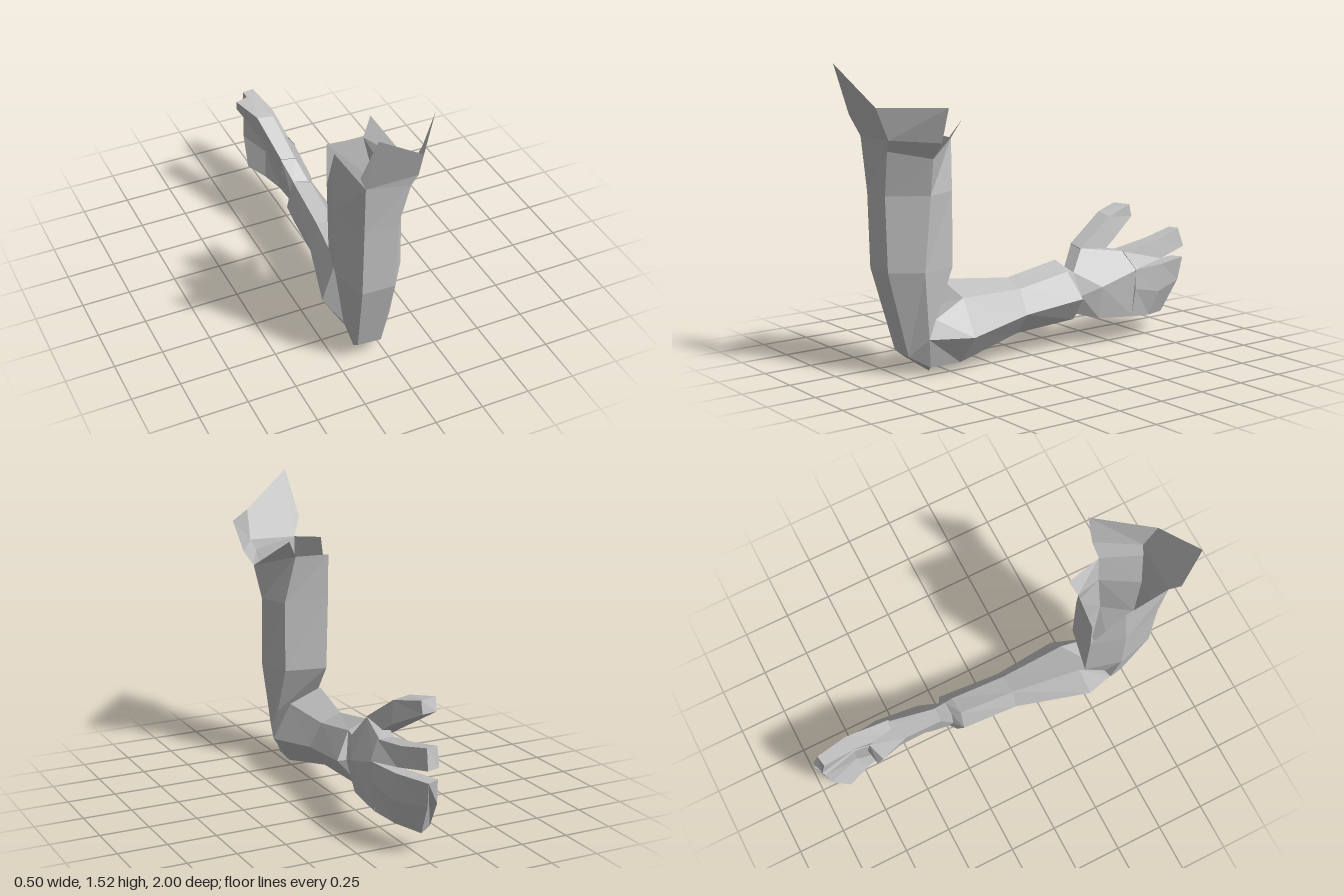
import * as THREE from 'three';

const skin = new THREE.MeshStandardMaterial({ color: 0xbfbfbf, flatShading: true, side: THREE.DoubleSide });
skin.name = 'plain grey';

// Flat-shaded mesh from polygons, each fanned from its first corner
function facets(name, polygons) {
  const pos = [];
  for (const p of polygons)
    for (let i = 1; i < p.length - 1; i++) pos.push(...p[0], ...p[i], ...p[i + 1]);
  const g = new THREE.BufferGeometry();
  g.setAttribute('position', new THREE.Float32BufferAttribute(pos, 3));
  g.computeVertexNormals();
  const mesh = new THREE.Mesh(g, skin);
  mesh.name = name;
  return mesh;
}

// Quads between neighbouring rings, with optional end caps
function loft(rings, capStart, capEnd) {
  const out = [];
  for (let r = 0; r < rings.length - 1; r++) {
    const a = rings[r], b = rings[r + 1], n = a.length;
    for (let i = 0; i < n; i++) {
      const j = (i + 1) % n;
      out.push([a[i], a[j], b[j], b[i]]);
    }
  }
  if (capStart) out.push([...rings[0]].reverse());
  if (capEnd) out.push(rings[rings.length - 1]);
  return out;
}

// Ring in a plane of constant z
const atZ = (z, pts) => pts.map(([x, y]) => [x, y, z]);

export function createModel() {
  const model = new THREE.Group();
  model.name = 'bentArm';

  // Upper arm rings: front right, front left, outer side, back outer, back inner, inner side
  const elbowUp = [[-.155, .11, .72], [-.03, .10, .72], [.05, .19, .65], [.03, .28, .6], [-.17, .28, .6], [-.19, .2, .63]];
  const low = [[-.19, .53, .83], [-.02, .53, .835], [.08, .53, .69], [.03, .53, .5], [-.19, .53, .455], [-.24, .53, .64]];
  const high = [[-.19, .9, .84], [-.02, .9, .845], [.09, .9, .66], [.03, .9, .5], [-.2, .92, .455], [-.25, .9, .63]];
  const rim = [[-.2, 1.17, .865], [.03, 1.12, .86], [.13, 1.08, .67], [-.02, 1.15, .47], [-.2, 1.15, .45], [-.235, 1.21, .61]];
  const walls = loft([elbowUp, low, high]);
  for (let i = 0; i < 4; i++) walls.push([high[i], high[i + 1], rim[i + 1], rim[i]]);
  walls.push([high[4], high[5], rim[5]]); // notch above this triangle stays open
  walls.push([high[5], high[0], rim[0], rim[5]]);
  walls.push([rim[2], [.03, 1.24, .44], rim[3]]); // small peak at the back
  model.add(facets('upperArm', walls));

  // Flared shoulder flaps
  const fold = [.06, 1.175, .87], mid = [.05, 1.33, .93];
  model.add(facets('shoulderFlap', [
    [rim[0], rim[1], fold, mid],
    [rim[0], mid, [-.21, 1.52, 1], [-.245, 1.27, .9]],
    [rim[1], rim[2], [.19, 1.16, .66], fold],
    [fold, [.19, 1.16, .66], [.25, 1.33, .66], mid],
  ]));

  // Elbow tip closing the gap between the two arm segments
  const [eFL, eFR, eR, creaseR, creaseL, eL] = elbowUp;
  const eBR = [.01, .04, .62], eB = [-.07, 0, .58], eBL = [-.155, .07, .67];
  model.add(facets('elbow', [
    [eFL, eBL, eBR, eFR], [eFR, eBR, eR], [eFL, eL, eBL], [eBL, eB, eBR], [eL, eB, eBL],
  ]));

  // Forearm rings: top inner, top outer, outer side, bottom outer, bottom inner, inner side
  const forearm = [
    [creaseL, creaseR, eR, eBR, eB, eL],
    [[-.15, .43, .45], [.03, .365, .44], [.13, .185, .44], [.03, .045, .46], [-.13, .06, .47], [-.235, .24, .48]],
    atZ(.09, [[-.09, .40], [.02, .36], [.085, .24], [.0, .13], [-.09, .15], [-.13, .27]]),
    [[-.085, .455, -.21], [.02, .41, -.21], [.1, .275, -.25], [.02, .155, -.25], [-.07, .17, -.23], [-.12, .3, -.21]],
    [[-.06, .41, -.25], [.02, .40, -.25], [.06, .28, -.27], [.02, .18, -.27], [-.04, .19, -.26], [-.07, .3, -.25]],
  ];
  model.add(facets('forearm', loft(forearm, false, true)));

  // Hand
  const hand = new THREE.Group();
  hand.name = 'hand';
  hand.add(facets('palm', loft([
    forearm[4],
    [[-.1, .52, -.325], [-.02, .51, -.33], [.095, .32, -.38], [.07, .15, -.38], [0, .15, -.38], [-.07, .33, -.36]],
    [[-.04, .475, -.575], [.04, .475, -.575], [.1, .385, -.62], [.08, .13, -.6], [0, .13, -.6], [-.03, .36, -.6]],
  ], false, true)));

  // Digit rings: outer top, outer bottom, inner bottom, inner top
  const digit = (name, rings) => hand.add(facets(name, loft(rings, true, true)));
  digit('thumb', [
    [[-.02, .51, -.325], [0, .4, -.36], [-.08, .4, -.36], [-.1, .525, -.325]],
    [[-.05, .65, -.54], [-.03, .535, -.56], [-.12, .525, -.57], [-.14, .665, -.54]],
    [[-.1, .69, -.72], [-.1, .625, -.735], [-.185, .625, -.72], [-.195, .69, -.69]],
  ]);
  digit('indexFinger', [
    [[.045, .475, -.56], [.1, .385, -.6], [-.02, .385, -.6], [-.04, .475, -.56]],
    [[.05, .515, -.8], [.07, .415, -.8], [0, .415, -.78], [-.03, .515, -.78]],
    [[.01, .55, -.97], [.02, .45, -1], [-.05, .45, -.98], [-.05, .55, -.96]],
  ]);
  // Joined fingers: three corners per side
  hand.add(facets('joinedFingers', loft([
    [[.1, .385, -.6], [.1, .28, -.6], [.08, .13, -.59], [0, .13, -.59], [-.02, .28, -.6], [-.02, .385, -.6]],
    [[.075, .385, -.8], [.075, .24, -.78], [.045, .112, -.74], [-.025, .12, -.73], [0, .25, -.78], [0, .385, -.78]],
    [[.015, .39, -1], [.005, .265, -.975], [-.02, .1, -.88], [-.075, .12, -.86], [-.06, .265, -.95], [-.05, .39, -.97]],
  ], true, true)));
  model.add(hand);

  return model;
}
